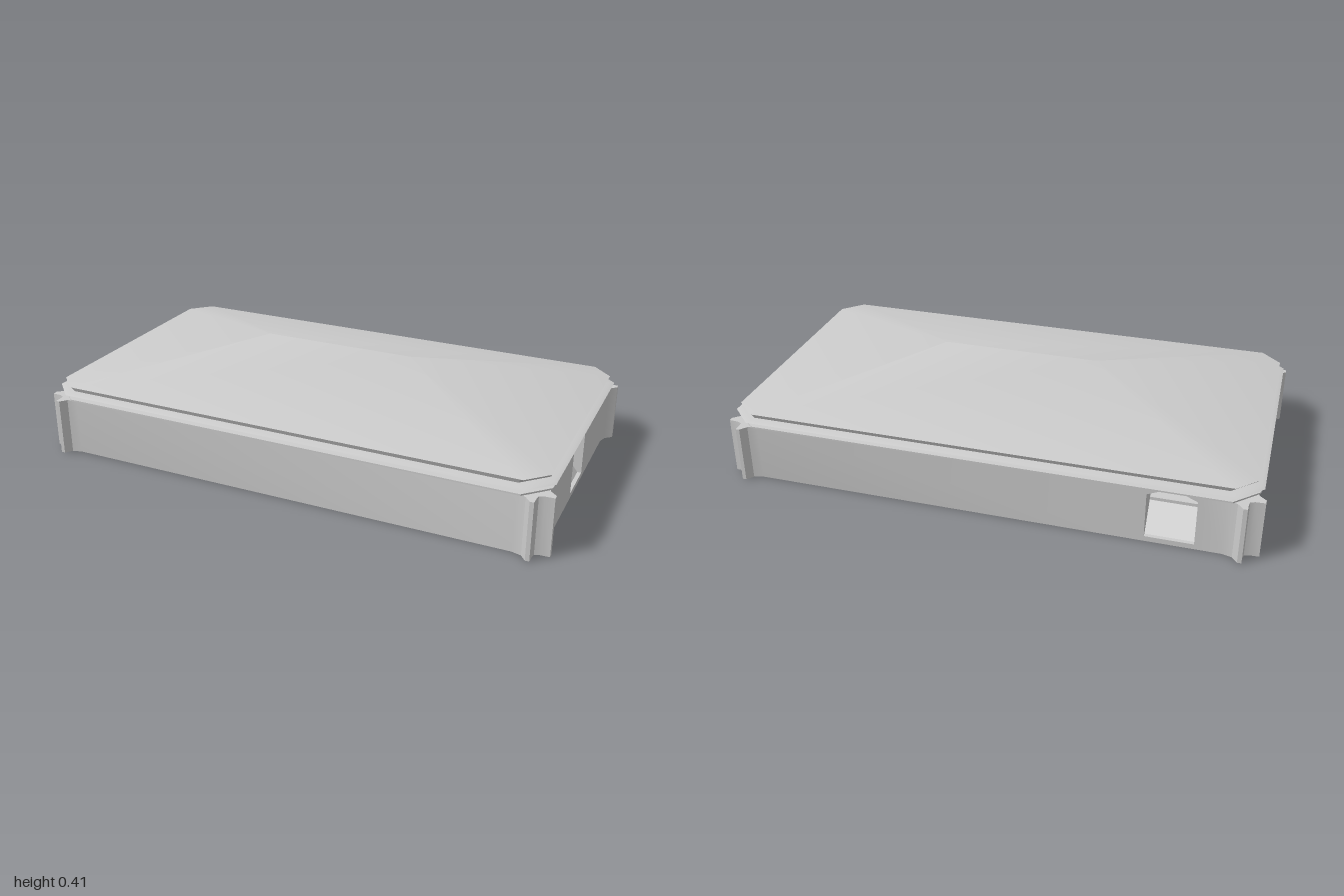
import * as THREE from 'three';
import { toCreasedNormals } from 'three/addons/utils/BufferGeometryUtils.js';

const WALL_TOP = 0.22, WALL_X = 0.965, WALL_Z = 0.525;
const DOOR_W = 0.176, DOOR_DEPTH = 0.16, BACK_DOOR_X = -0.69;

const material = new THREE.MeshStandardMaterial({ color: 0xcccccc });

function part(name, geometry, crease = 0.4) {
  const mesh = new THREE.Mesh(toCreasedNormals(geometry, crease), material);
  mesh.name = name;
  return mesh;
}

const toShape = (pts) => new THREE.Shape(pts.map(([x, y]) => new THREE.Vector2(x, y)));
const extrude = (pts, depth) =>
  new THREE.ExtrudeGeometry(toShape(pts), { depth, bevelEnabled: false });

// Rectangle with cut corners at height y, as eight points
function ring(x, z, cut, y) {
  const pts = [];
  for (const [sx, sz] of [[1, 1], [-1, 1], [-1, -1], [1, -1]]) {
    const pair = [[sx * x, y, sz * (z - cut)], [sx * (x - cut), y, sz * z]];
    pts.push(...(sx * sz > 0 ? pair : pair.reverse()));
  }
  return pts.map((p) => new THREE.Vector3(...p));
}

// Skin between successive rings, leaving out collapsed triangles
function loft(rings) {
  const out = [];
  const tri = (a, b, c) => {
    if (new THREE.Triangle(a, b, c).getArea() > 1e-8) out.push(a, b, c);
  };
  for (let r = 0; r < rings.length - 1; r++) {
    const lo = rings[r], hi = rings[r + 1];
    for (let i = 0; i < lo.length; i++) {
      const j = (i + 1) % lo.length;
      tri(lo[i], hi[i], lo[j]);
      tri(lo[j], hi[i], hi[j]);
    }
  }
  const g = new THREE.BufferGeometry().setFromPoints(out);
  g.computeVertexNormals();
  return g;
}

// Walls: flared horns and a concave notch at each corner, slots for two doors
function wallGeometry() {
  const corner = [
    [WALL_X, 0.43], [0.975, 0.465], [1, 0.487], [1, 0.505], [0.965, 0.507], [0.948, 0.514],
    [0.945, 0.53], [0.945, 0.56], [0.93, 0.56], [0.91, 0.535], [0.875, WALL_Z],
  ];
  const mirrored = (sx, sz) => {
    const pts = corner.map(([x, z]) => [sx * x, sz * z]);
    return sx * sz > 0 ? pts : pts.reverse();
  };
  const h = DOOR_W / 2, inX = WALL_X - DOOR_DEPTH, inZ = WALL_Z - DOOR_DEPTH;
  const plan = [
    ...mirrored(1, 1), ...mirrored(-1, 1), ...mirrored(-1, -1),
    [BACK_DOOR_X - h, -WALL_Z], [BACK_DOOR_X - h, -inZ],
    [BACK_DOOR_X + h, -inZ], [BACK_DOOR_X + h, -WALL_Z],
    ...mirrored(1, -1),
    [WALL_X, -h], [inX, -h], [inX, h], [WALL_X, h],
  ];
  return extrude(plan, WALL_TOP).rotateX(Math.PI / 2).translate(0, WALL_TOP, 0);
}

// Doorway: side profiles run inward from the wall face, which is at local z = 0
function doorway(name) {
  const door = new THREE.Group();
  door.name = name;
  const h = DOOR_W / 2;
  const across = (pts) => extrude(pts, DOOR_W).rotateY(Math.PI / 2).translate(-h, 0, 0);
  door.add(part('doorRamp', across([
    [0, 0], [DOOR_DEPTH, 0], [DOOR_DEPTH, 0.16], [0.12, 0.16],
    [0.1, 0.127], [0.09, 0.127], [0.09, 0.115], [0.015, 0.02], [0, 0.02],
  ])));
  door.add(part('doorCeiling', across([
    [0, WALL_TOP], [0.12, 0.16], [DOOR_DEPTH, 0.16], [DOOR_DEPTH, WALL_TOP],
  ])));
  // Cut upper corners of the opening
  for (const s of [-1, 1]) {
    const pts = [[s * h, 0.195], [s * h, WALL_TOP], [s * 0.03, WALL_TOP]];
    door.add(part('doorTopCorner', extrude(pts, 0.12).translate(0, 0, -0.12)));
  }
  return door;
}

export function createModel() {
  const model = new THREE.Group();
  model.name = 'building';
  model.add(part('walls', wallGeometry(), 0.6));

  const sideDoor = doorway('sideDoor');
  sideDoor.position.x = WALL_X;
  sideDoor.rotation.y = Math.PI / 2;
  const backDoor = doorway('backDoor');
  backDoor.position.set(BACK_DOOR_X, 0, -WALL_Z);
  backDoor.rotation.y = Math.PI;
  model.add(sideDoor, backDoor);

  // Cornice mouldings: [inset, height]
  const cornice = [
    [0.08, 0.22], [0.012, 0.22], [0.012, 0.226], [0.04, 0.228], [0.04, 0.238], [0.012, 0.243],
    [0, 0.247], [0.012, 0.251], [0.035, 0.254], [0.035, 0.257], [0.025, 0.259], [0.018, 0.275],
  ];
  model.add(part('cornice', loft(cornice.map(([d, y]) => ring(0.99, 0.548, 0.085, y).map(
    (p) => p.set(p.x - Math.sign(p.x) * d, y, p.z - Math.sign(p.z) * d))))));

  // Hipped roof rising to a short ridge
  const eave = ring(0.972, 0.53, 0.075, 0.275);
  const ridge = eave.map((p) => new THREE.Vector3(Math.sign(p.x) * 0.3, 0.41, 0));
  model.add(part('roof', loft([eave, ridge])));
  return model;
}
